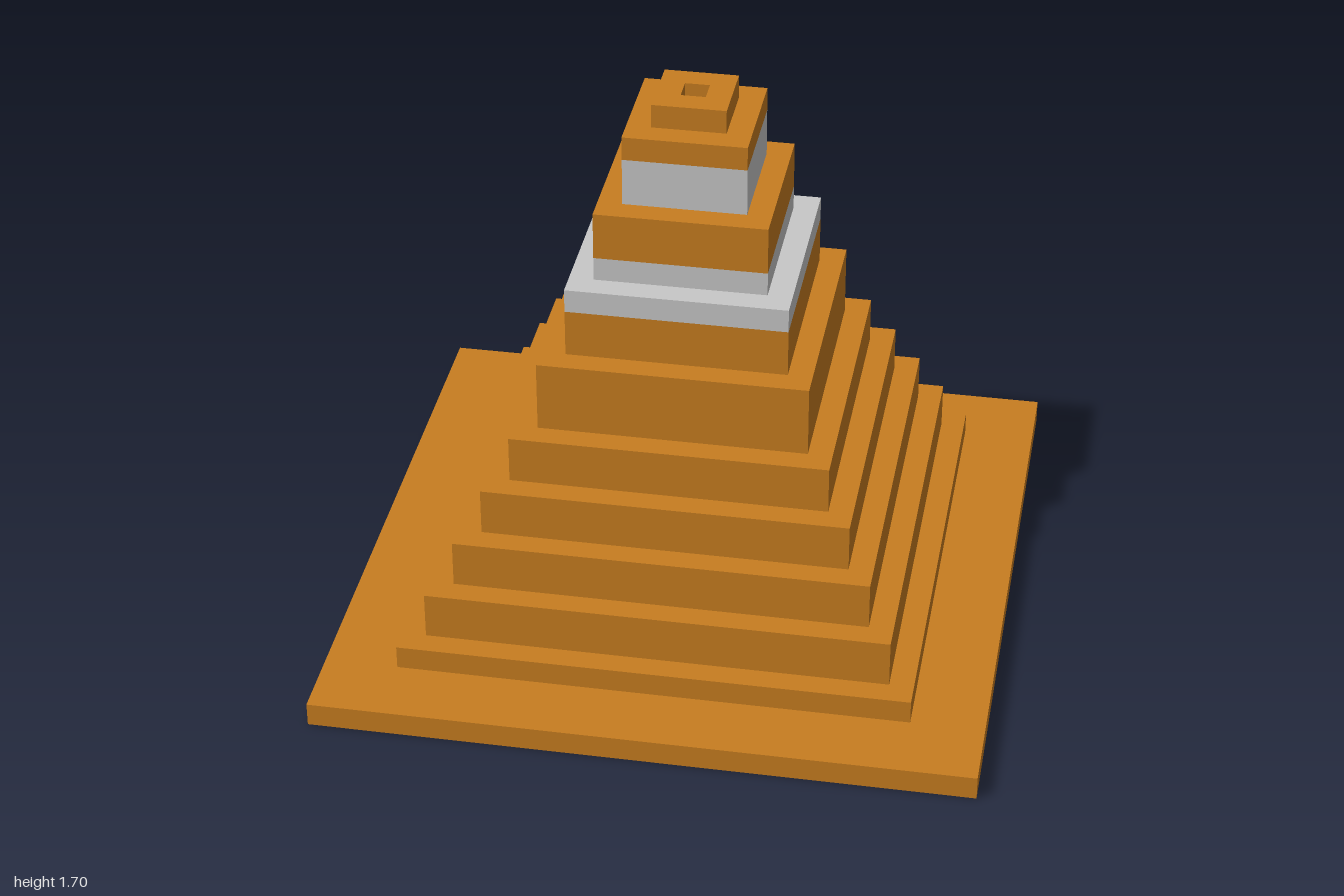
import * as THREE from 'three';

const U = 2 / 27; // one block

const orange = new THREE.MeshStandardMaterial({ color: 0xc87d20 });
orange.name = 'orange';
const grey = new THREE.MeshStandardMaterial({ color: 0xc8c8c8 });
grey.name = 'lightGrey';

// Square tier with a rectangular hole, sizes in blocks
function tier(name, y0, y1, outer, holeX, holeZ, material) {
  const rect = (target, w, d) => {
    const x = (w * U) / 2, z = (d * U) / 2;
    target.moveTo(-x, -z).lineTo(x, -z).lineTo(x, z).lineTo(-x, z).closePath();
    return target;
  };
  const shape = rect(new THREE.Shape(), outer, outer);
  shape.holes.push(rect(new THREE.Path(), holeX, holeZ));
  const geometry = new THREE.ExtrudeGeometry(shape, { depth: (y1 - y0) * U, bevelEnabled: false });
  geometry.rotateX(-Math.PI / 2).translate(0, y0 * U, 0);
  const mesh = new THREE.Mesh(geometry, material);
  mesh.name = name;
  return mesh;
}

export function createModel() {
  const group = new THREE.Group();
  group.name = 'steppedCone';

  // name, bottom, top, outer width, hole x, hole z, colour
  const tiers = [
    ['base', 0, 1, 27, 17, 15, orange],
    ['foot', 1, 2, 21, 15, 13, orange],
    ['step1', 2, 4, 19, 11, 11, orange],
    ['step2', 4, 6, 17, 7, 7, orange],
    ['step3', 6, 8, 15, 5, 5, orange],
    ['step4', 8, 10, 13, 3, 3, orange],
    ['step5', 10, 13, 11, 3, 3, orange],
    ['step6', 13, 15, 9, 1, 1, orange],
    ['lowerBandBottom', 15, 16, 9, 1, 1, grey],
    ['lowerBandTop', 16, 17, 7, 1, 1, grey],
    ['step7', 17, 19, 7, 1, 1, orange],
    ['upperBand', 19, 21, 5, 1, 1, grey],
    ['step8', 21, 22, 5, 1, 1, orange],
    ['tip', 22, 23, 3, 1, 1, orange],
  ];
  for (const t of tiers) group.add(tier(...t));
  return group;
}
